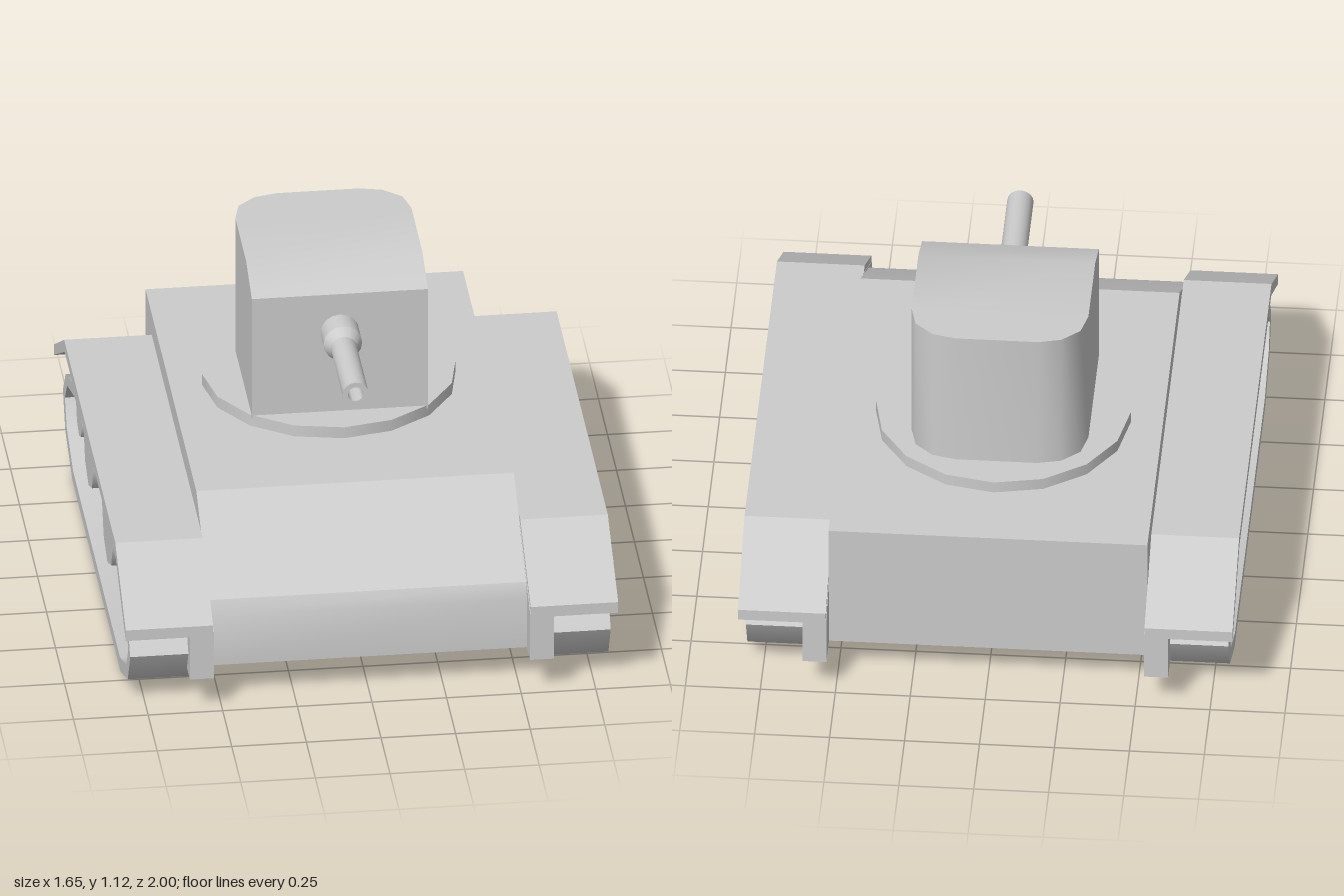
import * as THREE from 'three';
import { toCreasedNormals } from 'three/addons/utils/BufferGeometryUtils.js';

const grey = new THREE.MeshStandardMaterial({ color: 0xcccccc });
const vecs = (pts) => pts.map(([a, b]) => new THREE.Vector2(a, b));

// Side profile given as [z, y] points, extruded across x from x0 to x1
function prism(profile, x0, x1, hole, crease = 0.5) {
  const shape = new THREE.Shape(vecs(profile));
  if (hole) shape.holes.push(new THREE.Path(vecs(hole)));
  const geo = new THREE.ExtrudeGeometry(shape, { depth: x1 - x0, bevelEnabled: false });
  geo.rotateY(-Math.PI / 2).translate(x1, 0, 0);
  return toCreasedNormals(geo, crease);
}

function add(parent, name, geo) {
  const mesh = new THREE.Mesh(geo, grey);
  mesh.name = name;
  parent.add(mesh);
  return mesh;
}

// Closed track loop from one half, mirrored about its middle at z = 0.023
const trackLoop = (half) => [
  ...half.map(([d, y]) => [0.023 + d, y]),
  ...half.slice().reverse().filter(([d]) => d > 0).map(([d, y]) => [0.023 - d, y]),
];

export function createModel() {
  const model = new THREE.Group();
  model.name = 'tank';

  // Hull with sloped, rounded nose
  add(model, 'hull', prism([
    [-0.88, 0.125], [0.91, 0.125], [0.91, 0.31], [0.887, 0.36], [0.84, 0.393],
    [0.53, 0.58], [-0.88, 0.58],
  ], -0.532, 0.532));

  // Running gear on both sides
  const outer = trackLoop([[0.668, 0], [0.868, 0.08], [0.935, 0.2], [0.86, 0.3],
    [0.66, 0.375], [0.36, 0.42], [0, 0.44]]);
  const inner = trackLoop([[0.65, 0.045], [0.83, 0.115], [0.88, 0.2], [0.815, 0.28],
    [0.62, 0.345], [0.34, 0.38], [0, 0.393]]);
  const wheels = [ // z, y, radius
    [0.545, 0.2, 0.135], [0.035, 0.208, 0.15], [-0.49, 0.2, 0.135],
    [0.285, 0.315, 0.058], [-0.24, 0.315, 0.058],
    [0.81, 0.195, 0.08], [-0.755, 0.19, 0.08],
  ];
  for (const side of [1, -1]) {
    const gear = new THREE.Group();
    gear.name = side > 0 ? 'leftRunningGear' : 'rightRunningGear';
    const span = (a, b) => (side > 0 ? [a, b] : [-b, -a]);

    add(gear, 'fender', prism([
      [1, 0.285], [1, 0.325], [0.71, 0.5], [-0.71, 0.5], [-1, 0.325], [-1, 0.285],
      [-0.7, 0.46], [0.7, 0.46],
    ], ...span(0.532, 0.825)));
    add(gear, 'sideWall', prism([
      [1, 0.125], [1, 0.3], [0.705, 0.48], [-0.705, 0.48], [-1, 0.3], [-1, 0.125],
    ], ...span(0.53, 0.61)));
    add(gear, 'track', prism(outer, ...span(0.6, 0.805), inner, 0.75));
    for (const [z, y, r] of wheels) {
      const geo = new THREE.CylinderGeometry(r, r, 0.17, 8).rotateZ(Math.PI / 2);
      add(gear, 'wheel', geo).position.set(side * 0.685, y, z);
    }
    model.add(gear);
  }

  // Turret ring
  const ring = new THREE.CylinderGeometry(0.425, 0.425, 0.042, 16);
  add(model, 'turretRing', ring).position.set(0, 0.6, -0.2);

  // Turret: front block with sloped roof edge, rear block with rounded corners
  const turret = new THREE.Group();
  turret.name = 'turret';
  add(turret, 'turretFront', prism([
    [0.107, 0.61], [0.107, 1.062], [-0.05, 1.122], [-0.35, 1.122], [-0.35, 0.61],
  ], -0.295, 0.295));
  const rearHalf = [[0.295, 0.35], [0.275, 0.432], [0.215, 0.486], [0.138, 0.505]];
  const rear = new THREE.ExtrudeGeometry(new THREE.Shape(vecs([
    ...rearHalf, ...rearHalf.slice().reverse().map(([x, z]) => [-x, z]),
  ])), { depth: 0.512, bevelEnabled: false });
  rear.rotateX(-Math.PI / 2).translate(0, 0.61, 0);
  add(turret, 'turretRear', toCreasedNormals(rear, 0.6));
  model.add(turret);

  // Gun: collar, taper, barrel and hollow muzzle
  const gun = new THREE.LatheGeometry(vecs([
    [0.065, 0.08], [0.065, 0.19], [0.044, 0.225], [0.044, 0.545],
    [0.026, 0.545], [0.026, 0.45], [0, 0.45],
  ]), 16).rotateX(Math.PI / 2);
  add(model, 'gun', toCreasedNormals(gun, 0.5)).position.y = 0.92;

  return model;
}
